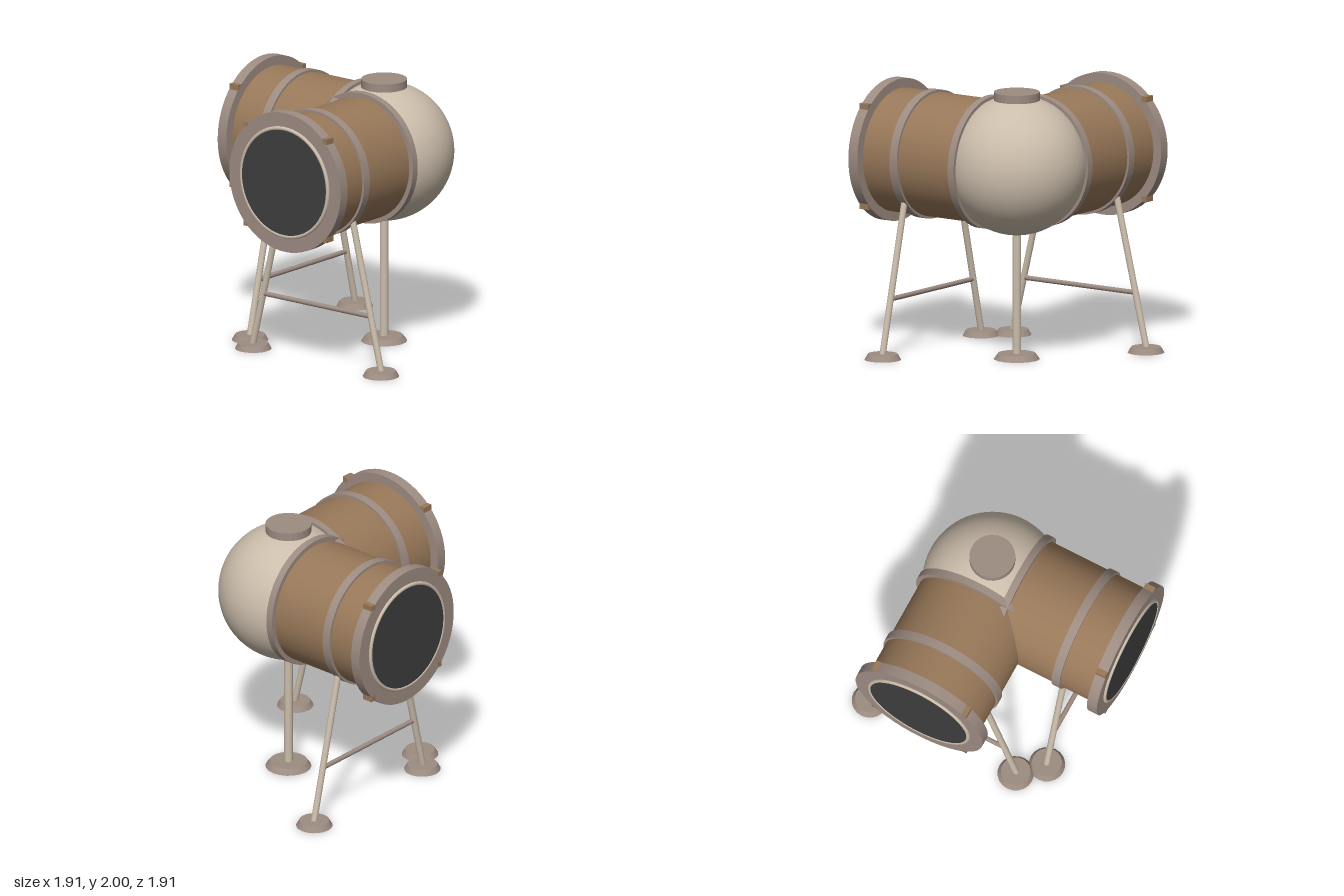
import * as THREE from 'three';

const material = (name, color) => {
  const m = new THREE.MeshStandardMaterial({ color });
  m.name = name;
  return m;
};
const shell = material('cream shell', 0xcbbdab);
const canvas = material('brown tube', 0x987859);
const trim = material('taupe trim', 0x9d8c82);
const glass = material('dark glass', 0x3e3e3e);

const AXIS_Y = 1.45; // height of the tube axes
const HUB = 0.213; // hub centre is at (HUB, AXIS_Y, -HUB)

function add(parent, name, geometry, mat, x = 0, y = 0, z = 0) {
  const mesh = new THREE.Mesh(geometry, mat);
  mesh.name = name;
  mesh.position.set(x, y, z);
  parent.add(mesh);
  return mesh;
}

// Closed cylinder lying along z, from z0 to z1
function drum(parent, name, radius, z0, z1, mat) {
  const geometry = new THREE.CylinderGeometry(radius, radius, z1 - z0, 64).rotateX(Math.PI / 2);
  return add(parent, name, geometry, mat, 0, AXIS_Y, (z0 + z1) / 2);
}

// Round bar between two points
function rod(parent, name, from, to, radius, mat) {
  const a = new THREE.Vector3(...from), b = new THREE.Vector3(...to);
  const mesh = add(parent, name, new THREE.CylinderGeometry(radius, radius, a.distanceTo(b), 16), mat);
  mesh.position.copy(a).lerp(b, 0.5);
  mesh.quaternion.setFromUnitVectors(new THREE.Vector3(0, 1, 0), b.sub(a).normalize());
  return mesh;
}

function foot(parent, radius, x, z) {
  add(parent, 'foot', new THREE.CylinderGeometry(radius * 0.82, radius, 0.042, 20), trim, x, 0.021, z);
}

// One tube with its rings, window and leg frame, running along +z from the hub
function createArm(name) {
  const arm = new THREE.Group();
  arm.name = name;

  drum(arm, 'tube', 0.46, 0.03, 1.1, canvas);
  drum(arm, 'hubCollar', 0.495, HUB, HUB + 0.056, trim);
  drum(arm, 'band', 0.478, HUB + 0.533, HUB + 0.6, trim);
  drum(arm, 'endRing', 0.53, HUB + 0.856, HUB + 0.938, trim);

  // Window with its slim rim
  add(arm, 'windowRim', new THREE.TorusGeometry(0.41, 0.015, 10, 64), shell, 0, AXIS_Y, HUB + 0.94);
  drum(arm, 'window', 0.408, HUB + 0.941, HUB + 0.95, glass);

  // Four latches around the end ring
  for (const sx of [-1, 1]) {
    for (const sy of [-1, 1]) {
      add(arm, 'latch', new THREE.BoxGeometry(0.042, 0.042, 0.082), canvas,
        sx * 0.374, AXIS_Y + sy * 0.374, HUB + 0.897);
    }
  }

  // Splayed legs, feet and cross bar
  const legZ = HUB + 0.565;
  for (const s of [-1, 1]) {
    rod(arm, 'leg', [s * 0.61, 0.035, legZ], [s * 0.337, 1.15, legZ], 0.024, shell);
    foot(arm, 0.135, s * 0.608, legZ);
  }
  rod(arm, 'crossBar', [-0.51, 0.437, legZ], [0.51, 0.437, legZ], 0.018, trim);
  return arm;
}

export function createModel() {
  const model = new THREE.Group();
  model.name = 'elbowModule';
  const body = new THREE.Group();
  body.name = 'body';
  body.position.set(HUB, 0, -HUB);
  model.add(body);

  // Round hub with top hatch and central post
  add(body, 'hubDome', new THREE.SphereGeometry(0.517, 64, 40), shell, 0, AXIS_Y, 0);
  add(body, 'topHatch', new THREE.CylinderGeometry(0.17, 0.17, 0.1, 24), trim, 0, 1.95, 0);
  rod(body, 'centrePost', [0, 0.03, 0], [0, 0.97, 0], 0.032, shell);
  foot(body, 0.17, 0, 0);

  // Two matching arms at a right angle
  const rightArm = createArm('rightArm');
  rightArm.rotation.y = -Math.PI / 2;
  body.add(createArm('frontArm'), rightArm);
  return model;
}
